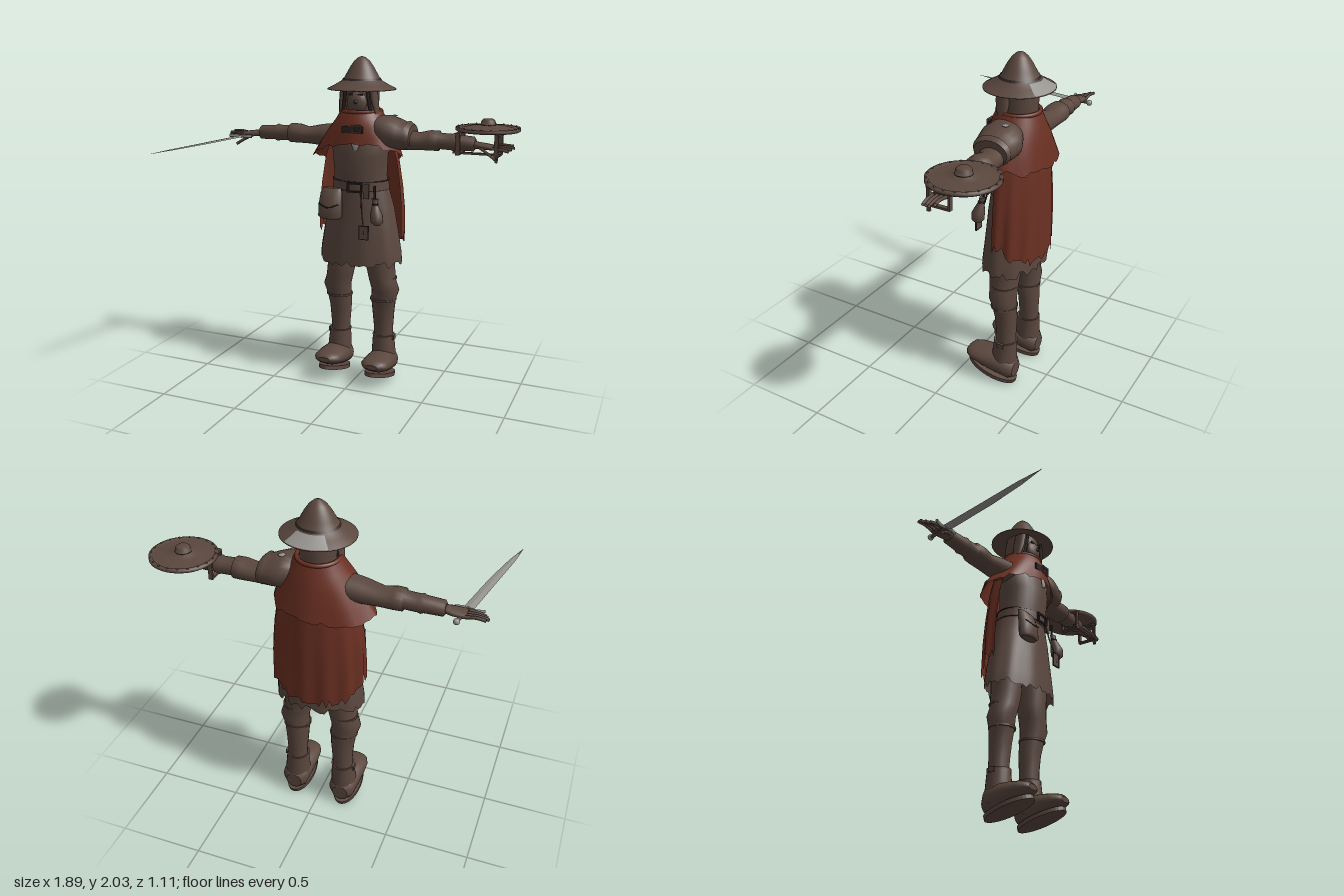
import * as THREE from 'three';

const mat = (name, color) => {
  const m = new THREE.MeshStandardMaterial({ color, side: THREE.DoubleSide });
  m.name = name;
  return m;
};
const rough = (j) => { const s = Math.sin(j * 12.9898 + 4.1) * 43758.5453; return s - Math.floor(s); };

// Surface from a grid of points fn(u, v); u runs along, v runs around
function grid(nu, nv, wrap, fn) {
  const pos = [], idx = [], cols = wrap ? nv : nv + 1;
  for (let i = 0; i <= nu; i++) for (let j = 0; j < cols; j++) pos.push(...fn(i, j));
  for (let i = 0; i < nu; i++) for (let j = 0; j < nv; j++) {
    const k = (j + 1) % cols, a = i * cols + j, b = i * cols + k;
    idx.push(a, a + cols, b, b, a + cols, b + cols);
  }
  const g = new THREE.BufferGeometry();
  g.setAttribute('position', new THREE.Float32BufferAttribute(pos, 3));
  g.setIndex(idx);
  g.computeVertexNormals();
  return g;
}

// Elliptic loft along an axis. Sections ascend: [along, c1, c2, r1, r2]
// y: c = x,z   x: c = y,z   z: c = x,y
function loft(axis, secs, n = 20, caps = true) {
  const rows = secs.map((s) => [...s]);
  if (caps) {
    const a = secs[0], b = secs[secs.length - 1];
    rows.unshift([a[0], a[1], a[2], 0, 0], [...a]);
    rows.push([...b], [b[0], b[1], b[2], 0, 0]);
  }
  return grid(rows.length - 1, n, true, (i, j) => {
    const [t, c1, c2, r1, r2] = rows[i], a = (j / n) * Math.PI * 2;
    const c = Math.cos(a), s = Math.sin(a);
    if (axis === 'y') return [c1 + r1 * c, t, c2 + r2 * s];
    if (axis === 'x') return [t, c1 + r1 * s, c2 + r2 * c];
    return [c1 + r1 * s, c2 + r2 * c, t];
  });
}

// Rectangular frame with an opening, facing +z
function frameGeo(w, h, t, depth) {
  const s = new THREE.Shape([[-w, -h], [w, -h], [w, h], [-w, h]].map((p) => new THREE.Vector2(p[0] / 2, p[1] / 2)));
  const a = w / 2 - t, b = h / 2 - t;
  s.holes.push(new THREE.Path([[-a, -b], [-a, b], [a, b], [a, -b]].map((p) => new THREE.Vector2(...p))));
  return new THREE.ExtrudeGeometry(s, { depth, bevelEnabled: false });
}

function rodGeo(points, r) {
  const curve = new THREE.CatmullRomCurve3(points.map((p) => new THREE.Vector3(...p)));
  return new THREE.TubeGeometry(curve, 8, r, 6, false);
}

export function createModel() {
  const leather = mat('brown leather', 0x5a473e), cloth = mat('red cloth', 0x6b3022);
  const steel = mat('pale steel', 0x94938f), dark = mat('dark trim', 0x2b221f);
  const model = new THREE.Group();
  const add = (name, geo, m, p = [0, 0, 0], parent = model) => {
    const mesh = new THREE.Mesh(geo, m);
    mesh.name = name;
    mesh.position.set(...p);
    parent.add(mesh);
    return mesh;
  };
  const box = (...s) => new THREE.BoxGeometry(...s);
  const lathe = (pts, n = 40, ...arc) => new THREE.LatheGeometry(pts.map((p) => new THREE.Vector2(...p)), n, ...arc);

  // Hat with a worn patch on the rear brim
  const hat = new THREE.Group();
  hat.name = 'hat';
  hat.position.z = -0.262;
  hat.scale.z = 0.95;
  model.add(hat);
  add('hatShell', lathe([[0.09, 1.835], [0.207, 1.806], [0.207, 1.811], [0.16, 1.835], [0.118, 1.86], [0.106, 1.875],
    [0.09, 1.905], [0.07, 1.94], [0.047, 1.972], [0.022, 1.993], [0, 2]]), leather, [0, 0, 0], hat);
  add('hatBand', lathe([[0.12, 1.861], [0.111, 1.873]]), dark, [0, 0, 0], hat);
  add('wornPatch', lathe([[0.206, 1.814], [0.16, 1.838], [0.128, 1.858]], 12, Math.PI - 0.65, 1.25), steel, [0, 0, 0], hat);

  // Head, mask and hair
  add('head', loft('y', [[1.6, 0, -0.265, 0.1, 0.1], [1.7, 0, -0.268, 0.1, 0.102], [1.78, 0, -0.268, 0.104, 0.104],
    [1.84, 0, -0.265, 0.1, 0.1]]), leather);
  add('mask', new THREE.SphereGeometry(0.07, 18, 12).scale(0.9, 1, 0.55), leather, [0, 1.735, -0.183]);
  add('nose', new THREE.SphereGeometry(0.012, 8, 6), dark, [0.005, 1.74, -0.146]);
  for (const s of [-1, 1]) {
    add('eye', box(0.03, 0.01, 0.008), dark, [s * 0.03, 1.782, -0.158]);
    add('hairLock', loft('y', [[1.67, s * 0.115, -0.22, 0.01, 0.03], [1.74, s * 0.102, -0.215, 0.02, 0.04],
      [1.82, s * 0.092, -0.21, 0.022, 0.04]], 10), leather);
    add('hairEdge', rodGeo([[s * 0.088, 1.68, -0.182], [s * 0.078, 1.74, -0.175], [s * 0.07, 1.82, -0.17]], 0.01), dark);
  }

  // Tunic body and ragged skirt
  add('torso', loft('y', [[1.2, 0, -0.255, 0.17, 0.135], [1.3, 0, -0.25, 0.165, 0.135], [1.42, 0, -0.245, 0.172, 0.14],
    [1.52, 0, -0.25, 0.19, 0.13], [1.6, 0, -0.26, 0.15, 0.115], [1.66, 0, -0.265, 0.09, 0.09]], 28), leather);
  const skirt = [[0.76, 0.266, 0.168], [0.82, 0.262, 0.166], [0.95, 0.24, 0.155], [1.1, 0.21, 0.145], [1.22, 0.172, 0.136]];
  add('skirt', grid(4, 60, true, (i, j) => {
    const a = (j / 60) * Math.PI * 2, [y, rx, rz] = skirt[i];
    const f = 1 + (i < 3 ? 0.012 * Math.cos(10 * a) : 0);
    return [rx * f * Math.cos(a), y + (i === 0 ? (rough(j) - 0.6) * 0.05 : 0), -0.262 + rz * f * Math.sin(a)];
  }), leather);
  add('chestPatch', loft('y', [[1.46, 0.022, -0.108, 0.012, 0.004], [1.49, 0.022, -0.106, 0.025, 0.004],
    [1.52, 0.018, -0.114, 0.022, 0.004]], 8), steel);

  // Belt, buckle and hanging gear
  add('belt', loft('y', [[1.215, 0, -0.256, 0.18, 0.142], [1.265, 0, -0.255, 0.175, 0.142]], 32), leather);
  for (const y of [1.213, 1.267]) add('beltEdge', loft('y', [[y - 0.003, 0, -0.256, 0.179, 0.143], [y + 0.003, 0, -0.256, 0.179, 0.143]], 32), dark);
  add('buckle', frameGeo(0.095, 0.06, 0.01, 0.015), dark, [0.015, 1.235, -0.118]);
  add('buckleStrap', box(0.035, 0.09, 0.012), leather, [0.085, 1.215, -0.122]);
  add('satchel', loft('y', [[1.035, -0.14, -0.1, 0.06, 0.03], [1.05, -0.14, -0.1, 0.078, 0.045], [1.12, -0.14, -0.105, 0.077, 0.046],
    [1.19, -0.14, -0.12, 0.07, 0.035], [1.22, -0.14, -0.135, 0.06, 0.02]], 16), leather);
  add('satchelSeam', rodGeo([[-0.205, 1.13, -0.075], [-0.14, 1.11, -0.056], [-0.075, 1.13, -0.075]], 0.004), dark);
  add('purse', loft('y', [[1.02, 0.165, -0.1, 0.018, 0.018], [1.04, 0.165, -0.1, 0.038, 0.038], [1.08, 0.16, -0.1, 0.039, 0.038],
    [1.13, 0.15, -0.11, 0.022, 0.022], [1.145, 0.148, -0.113, 0.014, 0.014], [1.175, 0.145, -0.118, 0.022, 0.016]], 14), leather);
  add('purseTie', new THREE.TorusGeometry(0.016, 0.005, 6, 14).rotateX(Math.PI / 2), dark, [0.148, 1.145, -0.113]);
  add('purseStrap', box(0.012, 0.1, 0.01), dark, [0.14, 1.2, -0.125]);
  add('tagCord', rodGeo([[0.055, 1.21, -0.112], [0.07, 1.1, -0.09], [0.092, 1.01, -0.063]], 0.004), dark);
  add('tag', box(0.055, 0.08, 0.008), leather, [0.095, 0.975, -0.063]);
  add('tagEdge', frameGeo(0.061, 0.086, 0.005, 0.01), dark, [0.095, 0.975, -0.068]);
  add('tagMark', box(0.006, 0.025, 0.002), dark, [0.097, 0.975, -0.058]);

  // Shoulder mantle, longer at its right side and back
  const mantle = [[0, 0.125, 0.118], [0.2, 0.16, 0.14], [0.45, 0.215, 0.158], [0.75, 0.275, 0.17], [1, 0.325, 0.18]];
  add('mantle', grid(4, 48, true, (i, j) => {
    const a = (j / 48) * Math.PI * 2, c = Math.cos(a), s = Math.sin(a);
    const [t, rx, rz] = mantle[4 - i];
    const hem = 1.44 + 0.06 * s - 0.02 * c * c - 0.03 * Math.max(0, -c) + (i === 0 ? 0.03 * (rough(j) - 0.5) : 0);
    const f = 1 + 0.02 * t * Math.cos(8 * a);
    const side = c > 0 ? 1 - 0.22 * t : 1;
    return [rx * side * f * c, 1.685 + (hem - 1.685) * t, -0.262 - 0.014 * t + rz * f * s];
  }), cloth);
  add('collar', new THREE.TorusGeometry(0.118, 0.012, 8, 32).rotateX(Math.PI / 2), cloth, [0, 1.68, -0.262]);
  add('claspStrap', box(0.13, 0.04, 0.012), dark, [0.0, 1.58, -0.109]);
  add('clasp', frameGeo(0.06, 0.05, 0.009, 0.012), leather, [0.03, 1.585, -0.106]);

  // Long ragged cape around the back
  const cape = [[0, 0.275, 0.17], [0.25, 0.272, 0.172], [0.5, 0.26, 0.168], [0.8, 0.235, 0.16], [1, 0.2, 0.15]];
  add('cape', grid(4, 48, false, (i, j) => {
    const a = Math.PI * (0.95 + (1.1 * j) / 48), [t, rx, rz] = cape[i];
    const f = 1 + 0.035 * (1 - t) * Math.cos(13 * a);
    const low = 0.87 + (i === 0 ? -0.07 * rough(j * 3) : 0) + 0.1 * Math.cos(a) ** 6;
    return [rx * f * Math.cos(a), low + (1.5 - low) * t, -0.275 + rz * f * Math.sin(a)];
  }), cloth);

  // Legs and boots
  for (const s of [-1, 1]) {
    const L = (rows) => rows.map(([y, x, z, rx, rz]) => [y, s * x, z, rx, rz]);
    add('leg', loft('y', L([[0.2, 0.15, -0.29, 0.06, 0.06], [0.32, 0.147, -0.288, 0.062, 0.06], [0.42, 0.146, -0.285, 0.07, 0.066],
      [0.5, 0.15, -0.275, 0.078, 0.072], [0.57, 0.163, -0.27, 0.088, 0.082], [0.63, 0.145, -0.265, 0.085, 0.084],
      [0.72, 0.13, -0.265, 0.09, 0.092], [0.9, 0.125, -0.265, 0.095, 0.1]])), leather);
    for (const y of [0.5, 0.64]) add('kneeStrap', loft('y', L([[y, 0.149, -0.272, 0.084, 0.08], [y + 0.012, 0.149, -0.272, 0.084, 0.08]])), leather);
    add('bootShaft', loft('y', L([[0.06, 0.155, -0.285, 0.078, 0.075], [0.16, 0.152, -0.282, 0.075, 0.077],
      [0.25, 0.149, -0.285, 0.068, 0.07], [0.265, 0.148, -0.286, 0.07, 0.072]])), leather);
    // Foot lofted heel to toe, with a sole that rises forward
    const foot = [[-0.36, 0.07, 0.05, 0.05], [-0.33, 0.085, 0.08, 0.08], [-0.25, 0.1, 0.088, 0.077], [-0.17, 0.112, 0.094, 0.062],
      [-0.1, 0.12, 0.09, 0.046], [-0.06, 0.126, 0.07, 0.032], [-0.042, 0.125, 0.04, 0.016]];
    add('foot', loft('z', foot.map(([z, y, rx, ry]) => [z, s * (0.155 + (z + 0.3) * 0.02), y, rx, ry])), leather);
    const sole = new THREE.Shape();
    sole.absellipse(0, 0, 0.085, 0.165, 0, Math.PI * 2);
    const soleMesh = add('sole', new THREE.ExtrudeGeometry(sole, { depth: 0.025, bevelEnabled: false, curveSegments: 20 }), leather,
      [s * 0.157, 0.042, -0.207]);
    soleMesh.rotation.x = Math.PI / 2 - 0.27;
    add('bootStrap', box(0.012, 0.03, 0.04), leather, [s * 0.218, 0.25, -0.285]);
  }

  // Arms with layered cuffs and open hands
  const sleeve = [[0.14, 1.53, -0.265, 0.07, 0.09], [0.26, 1.52, -0.27, 0.065, 0.082], [0.36, 1.512, -0.277, 0.052, 0.07],
    [0.43, 1.52, -0.28, 0.06, 0.074], [0.48, 1.52, -0.28, 0.06, 0.07], [0.485, 1.52, -0.28, 0.048, 0.056],
    [0.56, 1.517, -0.28, 0.048, 0.054], [0.575, 1.517, -0.28, 0.054, 0.058], [0.59, 1.517, -0.28, 0.046, 0.052],
    [0.69, 1.513, -0.278, 0.043, 0.046], [0.7, 1.513, -0.278, 0.03, 0.03]];
  const palm = [[0.69, 1.51, -0.275, 0.022, 0.03], [0.74, 1.505, -0.272, 0.02, 0.045], [0.81, 1.5, -0.27, 0.016, 0.046]];
  for (const s of [-1, 1]) {
    const X = (rows) => {
      const r = rows.map(([x, ...rest]) => [s * x, ...rest]);
      return s < 0 ? r.reverse() : r;
    };
    add('arm', loft('x', X(sleeve)), leather);
    add('palm', loft('x', X(palm), 12), leather);
    for (let k = 0; k < 4; k++) {
      const z = -0.31 + k * 0.026;
      add('finger', rodGeo([[s * 0.79, 1.5, z], [s * 0.86, 1.512 - 0.006 * k, z], [s * (0.925 - 0.012 * Math.abs(k - 1)), 1.508 - 0.008 * k, z - 0.004]], 0.009), leather);
    }
    add('thumb', rodGeo([[s * 0.73, 1.5, -0.24], [s * 0.78, 1.475, -0.215], [s * 0.835, 1.44, -0.2]], 0.009), leather);
  }

  // Plated left shoulder
  add('pauldron', loft('x', [[0.09, 1.63, -0.22, 0.015, 0.04], [0.13, 1.58, -0.25, 0.08, 0.11], [0.19, 1.56, -0.258, 0.1, 0.13],
    [0.25, 1.55, -0.262, 0.088, 0.122], [0.29, 1.545, -0.265, 0.075, 0.11], [0.3, 1.545, -0.265, 0.085, 0.115], [0.325, 1.54, -0.268, 0.068, 0.1]]), leather);
  add('pauldronPatch', new THREE.SphereGeometry(0.02, 10, 6).scale(1, 0.2, 1), steel, [0.2, 1.655, -0.29]);

  // Sword held in the right hand
  const sword = new THREE.Group();
  sword.name = 'sword';
  sword.position.set(-0.8, 1.49, -0.2);
  sword.rotation.set(0.02, -0.2, 0);
  model.add(sword);
  add('blade', loft('z', [[0, 0, 0, 0.028, 0.005], [0.35, 0.004, 0, 0.025, 0.004], [0.6, 0, 0, 0.017, 0.003], [0.765, -0.003, 0, 0.001, 0.001]], 4).toNonIndexed(), steel, [0, 0, 0], sword)
    .geometry.computeVertexNormals();
  add('grip', new THREE.CylinderGeometry(0.011, 0.011, 0.15, 10).rotateX(Math.PI / 2), leather, [0, 0, -0.075], sword);
  add('guard', rodGeo([[-0.085, 0, 0.02], [-0.04, 0, 0], [0.04, 0, 0], [0.07, 0, -0.015]], 0.009), steel, [0, 0, -0.005], sword);
  add('pommel', new THREE.SphereGeometry(0.018, 12, 8), steel, [0, 0, -0.15], sword);

  // Round shield lying over the left hand
  const shield = new THREE.Group();
  shield.name = 'shield';
  shield.position.set(0.748, 1.58, -0.37);
  model.add(shield);
  add('shieldDisc', lathe([[0, 0], [0.18, 0], [0.188, 0.006], [0.188, 0.022], [0.168, 0.022], [0.165, 0.014], [0.1, 0.03],
    [0.045, 0.036], [0.04, 0.06], [0.03, 0.07], [0, 0.072]], 48), leather, [0, 0, 0], shield);
  add('bossRing', new THREE.TorusGeometry(0.042, 0.004, 6, 24).rotateX(Math.PI / 2), dark, [0, 0.037, 0], shield);
  for (let k = 0; k < 20; k++) {
    const a = (k / 20) * Math.PI * 2;
    add('rivet', new THREE.SphereGeometry(0.006, 6, 4), leather, [0.178 * Math.cos(a), 0.023, 0.178 * Math.sin(a)], shield);
  }
  for (const x of [0.595, 0.82]) {
    const strap = add('armStrap', frameGeo(0.13, 0.13, 0.012, 0.025), leather, [x, 1.515, -0.285]);
    strap.rotation.y = Math.PI / 2;
  }
  add('handGrip', box(0.28, 0.012, 0.02), leather, [0.72, 1.465, -0.23]);
  add('gripPost', box(0.014, 0.16, 0.018), leather, [0.835, 1.5, -0.225]);
  return model;
}
